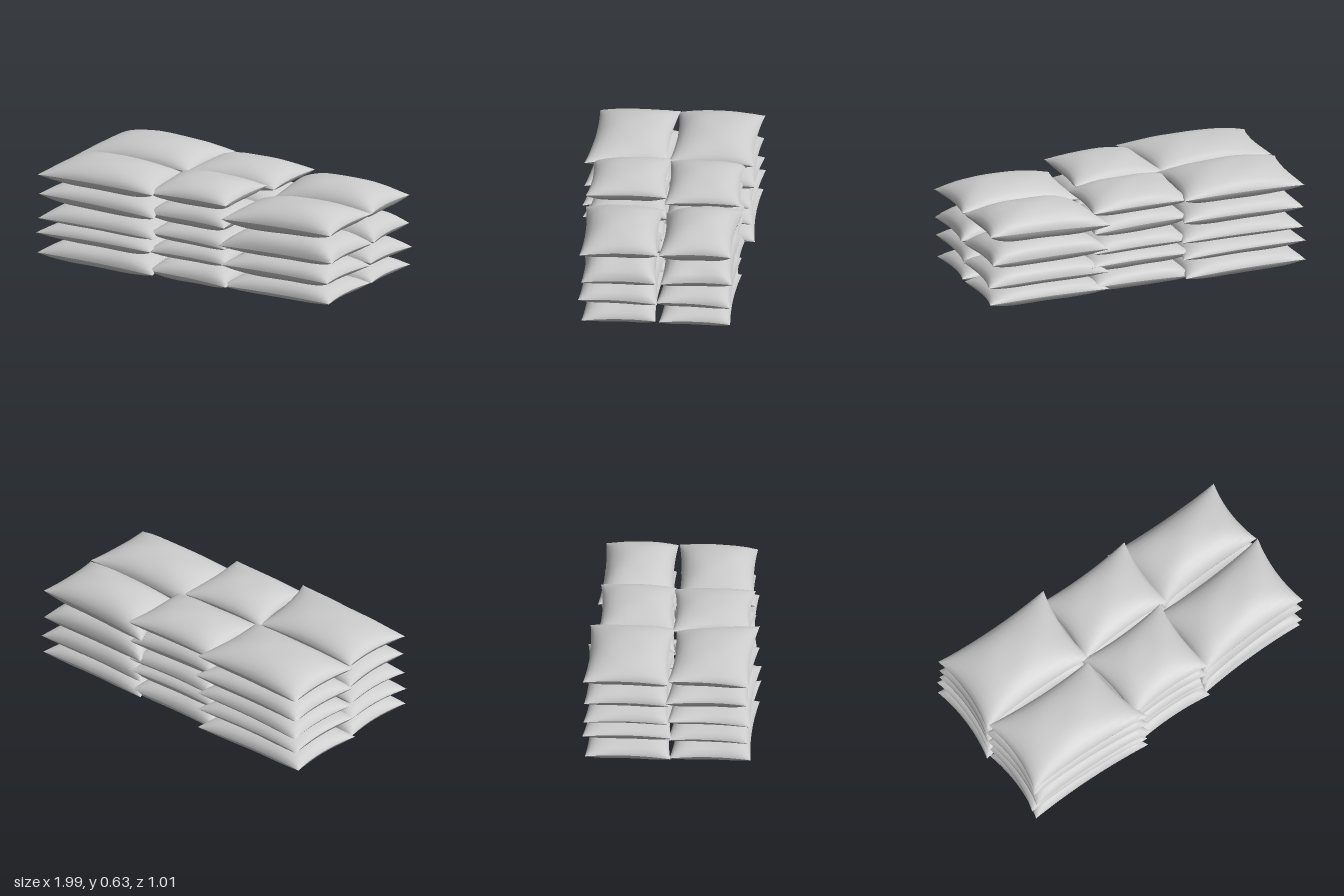
import * as THREE from 'three';
import { mergeGeometries } from 'three/addons/utils/BufferGeometryUtils.js';

const sackGrey = new THREE.MeshStandardMaterial({ color: 0xcccccc, side: THREE.DoubleSide });
sackGrey.name = 'sackGrey';

// small seeded random in -1..1
let seed = 7;
const rand = () => {
  seed = (seed * 16807) % 2147483647;
  return (seed / 2147483647) * 2 - 1;
};

const mix = (a, b, t) => a + (b - a) * t;

// one half of a sack: a sheet stretched between four corners and puffed up or down
// corners run back-left, back-right, front-right, front-left as [x, z]
function sackSheet(corners, seamY, depth, power, tips, phase, tilt) {
  const geo = new THREE.PlaneGeometry(2, 2, 16, 14);
  const pos = geo.attributes.position;
  const [bl, br, fr, fl] = corners;
  for (let i = 0; i < pos.count; i++) {
    const u = Math.sin(pos.getX(i) * Math.PI / 2);
    const v = Math.sin(-pos.getY(i) * Math.PI / 2);
    // sides curve inward, leaving pointed corners
    const pu = u * (1 - 0.08 * (1 - v * v));
    const pv = v * (1 - 0.08 * (1 - u * u));
    const s = (pu + 1) / 2, t = (pv + 1) / 2;
    const x = mix(mix(bl[0], br[0], s), mix(fl[0], fr[0], s), t);
    const z = mix(mix(bl[1], br[1], s), mix(fl[1], fr[1], s), t);
    const puff = Math.pow(Math.max(0, (1 - Math.abs(u) ** power) * (1 - Math.abs(v) ** power)), 0.55);
    const wrinkle = 1 + 0.03 * Math.sin(u * 6 + phase) * Math.sin(v * 5 + phase * 2);
    const edge = mix(mix(tips[0], tips[1], s), mix(tips[3], tips[2], s), t) * (1 - puff);
    pos.setXYZ(i, x, seamY + edge + tilt * u + depth * puff * wrinkle, z);
  }
  // the lower sheet faces down
  if (depth < 0) {
    const idx = geo.index;
    for (let i = 0; i < idx.count; i += 3) {
      const a = idx.getX(i);
      idx.setX(i, idx.getX(i + 1));
      idx.setX(i + 1, a);
    }
  }
  geo.computeVertexNormals();
  return geo;
}

function makeSack(name, corners, y0, y1, seam, isTop, tilt) {
  const seamY = mix(y0, y1, seam);
  const tips = corners.map(() => rand() * 0.012);
  const phase = rand() * 3;
  const geo = mergeGeometries([
    sackSheet(corners, seamY, y1 - seamY, isTop ? 2.4 : 4, tips, phase, tilt),
    sackSheet(corners, seamY, y0 - seamY, 4.2, tips, phase, tilt),
  ]);
  const mesh = new THREE.Mesh(geo, sackGrey);
  mesh.name = name;
  return mesh;
}

// levels between the sacks, and how high each seam sits in its sack
const tall = [0.006, 0.135, 0.24, 0.345, 0.473];
const low = [0.006, 0.123, 0.25, 0.398];
const tallSeams = [0.42, 0.48, 0.42, 0.45, 0.42];
const lowSeams = [0.42, 0.4, 0.36, 0.38];

// the six piles: corner outline of the sacks, levels, seams and lean of the top sack
const piles = [
  { name: 'tallBack', levels: [...tall, 0.63], seams: tallSeams, tilt: 0,
    corners: [[-0.94, -0.5], [-0.2, -0.475], [-0.24, 0.01], [-0.97, -0.005]] },
  { name: 'tallFront', levels: [...tall, 0.62], seams: tallSeams, tilt: 0,
    corners: [[-0.95, -0.015], [-0.26, 0.02], [-0.19, 0.495], [-0.98, 0.45]] },
  { name: 'middleBack', levels: [...tall, 0.605], seams: tallSeams, tilt: 0,
    corners: [[-0.26, -0.43], [0.35, -0.43], [0.33, 0.005], [-0.27, 0.005]] },
  { name: 'middleFront', levels: [...tall, 0.61], seams: tallSeams, tilt: 0,
    corners: [[-0.28, -0.005], [0.28, -0.005], [0.27, 0.46], [-0.25, 0.445]] },
  { name: 'lowBack', levels: [...low, 0.575], seams: lowSeams, tilt: 0.006,
    corners: [[0.24, -0.445], [0.985, -0.415], [0.975, 0], [0.3, -0.005]] },
  { name: 'lowFront', levels: [...low, 0.56], seams: lowSeams, tilt: 0.014,
    corners: [[0.24, 0.01], [0.98, 0.005], [0.96, 0.455], [0.24, 0.46]] },
];

export function createModel() {
  const group = new THREE.Group();
  group.name = 'sackStack';
  for (const { name, levels, seams, tilt, corners } of piles) {
    const pile = new THREE.Group();
    pile.name = name + 'Pile';
    seams.forEach((seam, i) => {
      const isTop = i === seams.length - 1;
      // lower sacks sit slightly askew
      const wobble = isTop ? 0 : 0.014;
      const outline = corners.map(([x, z]) => [x + rand() * wobble, z + rand() * wobble]);
      // neighbours press into each other a little
      const bottom = levels[i] - (i ? 0.006 : 0);
      pile.add(makeSack(name + 'Sack' + (i + 1), outline, bottom, levels[i + 1], seam, isTop, isTop ? tilt : 0));
    });
    group.add(pile);
  }
  return group;
}
